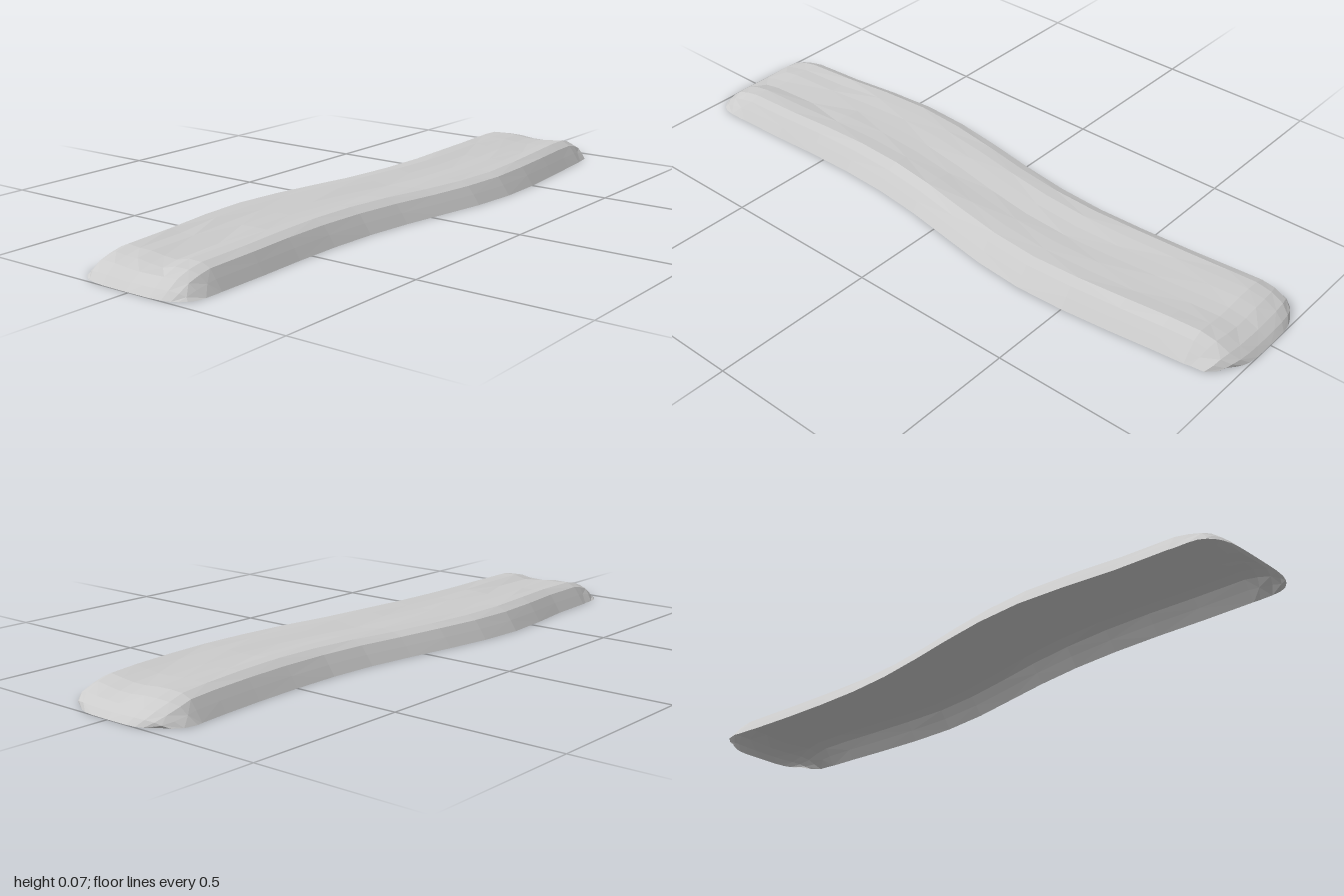
import * as THREE from 'three';

// Stations along the strip: x, back edge z, front edge z, height of the top there
const STATIONS = [
  [-1, -0.185, 0.165, 0], [-0.98, -0.197, 0.175, 0.02], [-0.95, -0.202, 0.179, 0.042],
  [-0.91, -0.204, 0.179, 0.056], [-0.86, -0.207, 0.178, 0.064], [-0.7, -0.217, 0.174, 0.066],
  [-0.55, -0.237, 0.167, 0.067], [-0.4, -0.25, 0.165, 0.067], [-0.25, -0.243, 0.171, 0.066],
  [-0.1, -0.222, 0.188, 0.065], [0.05, -0.197, 0.213, 0.063], [0.2, -0.176, 0.238, 0.064],
  [0.35, -0.167, 0.25, 0.065], [0.5, -0.169, 0.245, 0.067], [0.65, -0.177, 0.231, 0.067],
  [0.78, -0.188, 0.216, 0.066], [0.87, -0.198, 0.207, 0.063], [0.92, -0.202, 0.203, 0.052],
  [0.96, -0.195, 0.198, 0.035], [0.985, -0.175, 0.175, 0.017], [1, -0.145, 0.14, 0],
];
// Cross-section: position from back (0) to front (1), share of the height
const SECTION = [
  [0, 0], [0.05, 0.45], [0.095, 0.83], [0.17, 1.02], [0.27, 1.04], [0.38, 0.97],
  [0.5, 0.91], [0.61, 0.94], [0.72, 0.98], [0.83, 1.02], [0.905, 0.83], [0.95, 0.45], [1, 0],
];

export function createModel() {
  const group = new THREE.Group();
  const positions = [], indices = [];
  const cols = SECTION.length;

  STATIONS.forEach(([x, back, front, top], i) => {
    SECTION.forEach(([t, share], j) => {
      // Corners pull in so that the ends are rounded
      const round = Math.abs(x) > 0.9 ? 0.035 * Math.abs(2 * t - 1) ** 5 : 0;
      // Gentle lengthwise ripples, with small pleats near the left end
      const inner = j > 2 && j < cols - 3 && top > 0.05;
      let ripple = inner ? 0.002 * Math.sin(x * 6 + j * 1.7) : 0;
      if (inner && x < -0.65 && (j === 4 || j === 7)) ripple -= 0.007;
      positions.push(x * (1 - round), top * share + ripple, back + (front - back) * t);
      if (i && j) {
        const d = i * cols + j, c = d - 1, b = d - cols, a = b - 1;
        indices.push(...((i + j) % 2 ? [a, b, c, b, d, c] : [a, d, c, a, b, d]));
      }
    });
  });
  // Face order above runs end to end; flip so that the outside faces up
  for (let k = 0; k < indices.length; k += 3) {
    const [a, b, c] = indices.slice(k, k + 3).map((n) => new THREE.Vector3().fromArray(positions, n * 3));
    if (b.sub(a).cross(c.sub(a)).y < 0) [indices[k + 1], indices[k + 2]] = [indices[k + 2], indices[k + 1]];
  }

  const geometry = new THREE.BufferGeometry();
  geometry.setAttribute('position', new THREE.Float32BufferAttribute(positions, 3));
  geometry.setIndex(indices);
  geometry.computeVertexNormals();

  // Thin shell, open underneath
  const strip = new THREE.Mesh(geometry, new THREE.MeshStandardMaterial({
    color: 0xcccccc, flatShading: true, side: THREE.DoubleSide,
  }));
  strip.name = 'wavyStrip';
  group.add(strip);
  return group;
}
